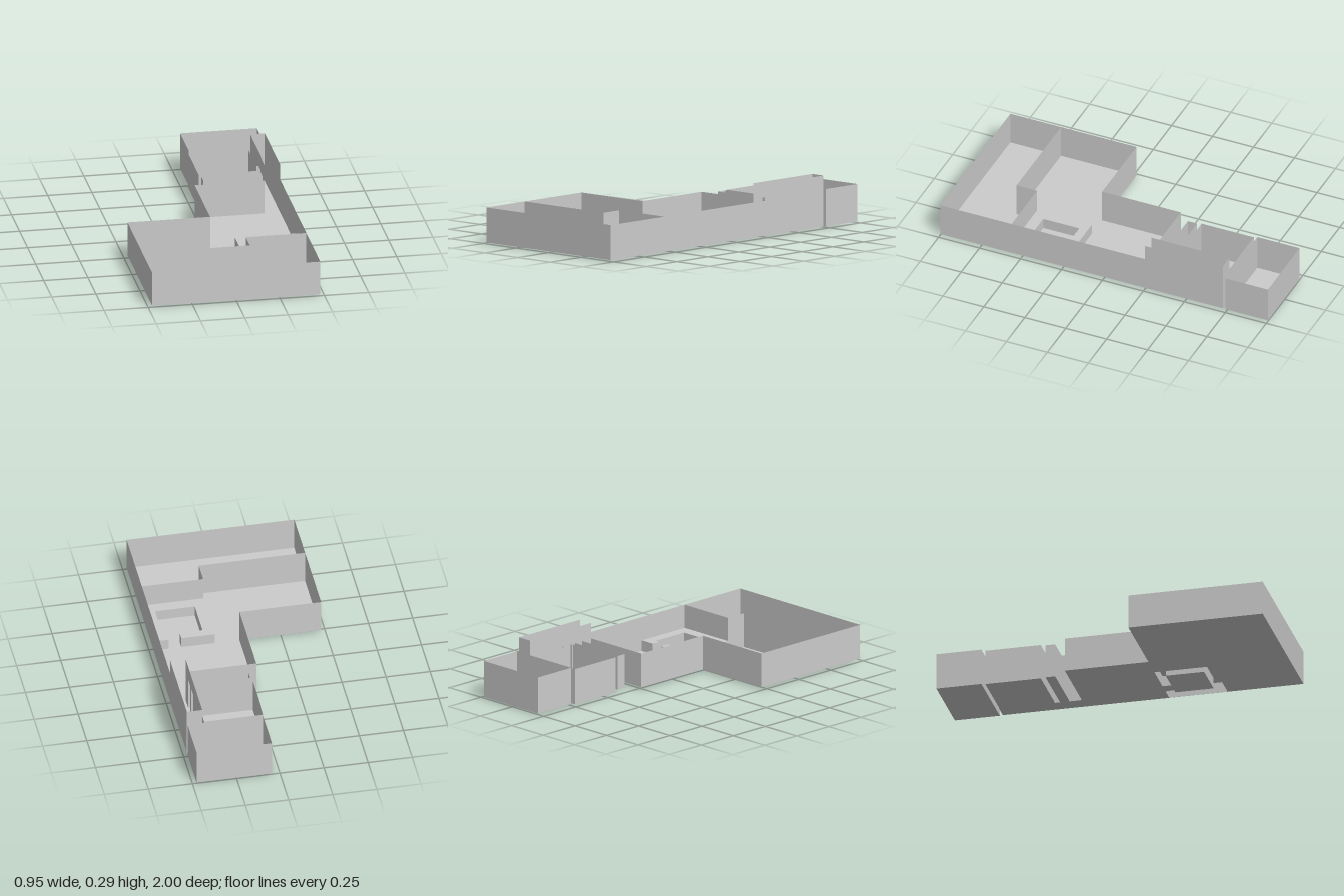
import * as THREE from 'three';

const material = new THREE.MeshStandardMaterial({
  color: 0xcccccc, flatShading: true, side: THREE.DoubleSide,
});

// Thin upright wall following plan points [x, z] from height y0 to y1
function wall(points, y0, y1, closed = false) {
  const path = closed ? [...points, points[0]] : points;
  const pos = [];
  for (let i = 0; i < path.length - 1; i++) {
    const [ax, az] = path[i], [bx, bz] = path[i + 1];
    pos.push(ax, y0, az, bx, y0, bz, bx, y1, bz);
    pos.push(ax, y0, az, bx, y1, bz, ax, y1, az);
  }
  const g = new THREE.BufferGeometry();
  g.setAttribute('position', new THREE.Float32BufferAttribute(pos, 3));
  g.computeVertexNormals();
  return g;
}

// Flat slab of zero thickness from plan points, with optional holes
function flat(points, y, holes = []) {
  const toPlan = (list) => list.map(([x, z]) => new THREE.Vector2(x, -z));
  const shape = new THREE.Shape(toPlan(points));
  for (const h of holes) shape.holes.push(new THREE.Path(toPlan(h)));
  return new THREE.ShapeGeometry(shape).rotateX(-Math.PI / 2).translate(0, y, 0);
}

const rect = (x0, x1, z0, z1) => [[x0, z0], [x1, z0], [x1, z1], [x0, z1]];

export function createModel() {
  const model = new THREE.Group();
  const add = (name, geometry, parent = model) => {
    const mesh = new THREE.Mesh(geometry, material);
    mesh.name = name;
    parent.add(mesh);
  };

  const L = -0.477, R = 0.477, C = 0.39; // outer sides and corridor inner side
  const floorY = 0.008, top = 0.205, tall = 0.295, ledge = 0.07;
  const backEnd = -0.725;

  // Raised ledge wrapping a sunken square, entered through a gap at the back
  const ledgePlan = [
    [R - 0.001, 0.23], [0.39, 0.23], [0.385, 0.28], [0.415, 0.28],
    [0.415, 0.5], [0.19, 0.5], [0.19, 0.28], [0.32, 0.28],
    [0.32, 0.23], [0.13, 0.23], [0.13, 0.565], [R - 0.001, 0.565],
  ];
  add('ledgeTop', flat(ledgePlan, ledge));
  add('ledgeSides', wall(ledgePlan, floorY, ledge, true));

  // Main floor, open beneath the ledge, running on into the corridor
  add('mainFloor', flat([
    [L, 1], [R, 1], [R, backEnd], [C, backEnd], [C, -0.25],
    [-0.01, -0.25], [-0.01, 0.23], [L, 0.23],
  ], floorY, [ledgePlan]));

  // Outer and dividing walls of the main rooms
  add('outerWalls', wall([
    [R, -0.25], [R, 1], [L, 1], [L, 0.23], [-0.01, 0.23], [-0.01, -0.25], [C, -0.25],
  ], floorY, top));
  add('dividingWall', wall([[L, 0.69], [0.13, 0.69], [0.13, 0.565], [R, 0.565]], floorY, top));

  // Tall corridor with doorways on its inner side
  const corridor = new THREE.Group();
  corridor.name = 'corridor';
  model.add(corridor);
  add('corridorOuterWall', wall([[R, -0.25], [R, backEnd], [C, backEnd]], floorY, tall), corridor);
  for (const [a, b] of [[-0.25, -0.32], [-0.375, -0.41], [-0.47, backEnd]]) {
    add('corridorInnerWall', wall([[C, a], [C, b]], floorY, top), corridor);
  }
  add('corridorInnerWallUpper', wall([[C, -0.25], [C, backEnd]], top, tall), corridor);

  // Narrow side room, open to the corridor
  add('narrowRoomFloor', flat(rect(0.05, C, -0.375, -0.32), floorY));
  add('narrowRoomWalls', wall([[C, -0.375], [0.05, -0.375], [0.05, -0.32], [C, -0.32]], floorY, top));

  // Middle room with a short passage to the corridor
  add('middleRoomFloor', flat(rect(0.04, 0.378, -0.718, -0.4), 0));
  add('middleRoomWalls', wall([
    [0.378, -0.47], [0.378, -0.718], [0.04, -0.718], [0.04, -0.4], [0.378, -0.4], [0.378, -0.41],
  ], 0, top));
  add('passageFloor', flat(rect(0.378, C, -0.47, -0.41), floorY));
  for (const z of [-0.47, -0.41]) add('passageWall', wall([[0.378, z], [C, z]], floorY, top));

  // Back room
  const back = rect(0.045, R, -1, -0.742);
  add('backRoomFloor', flat(back, 0.006));
  add('backRoomWalls', wall(back, 0.006, 0.217, true));

  return model;
}
